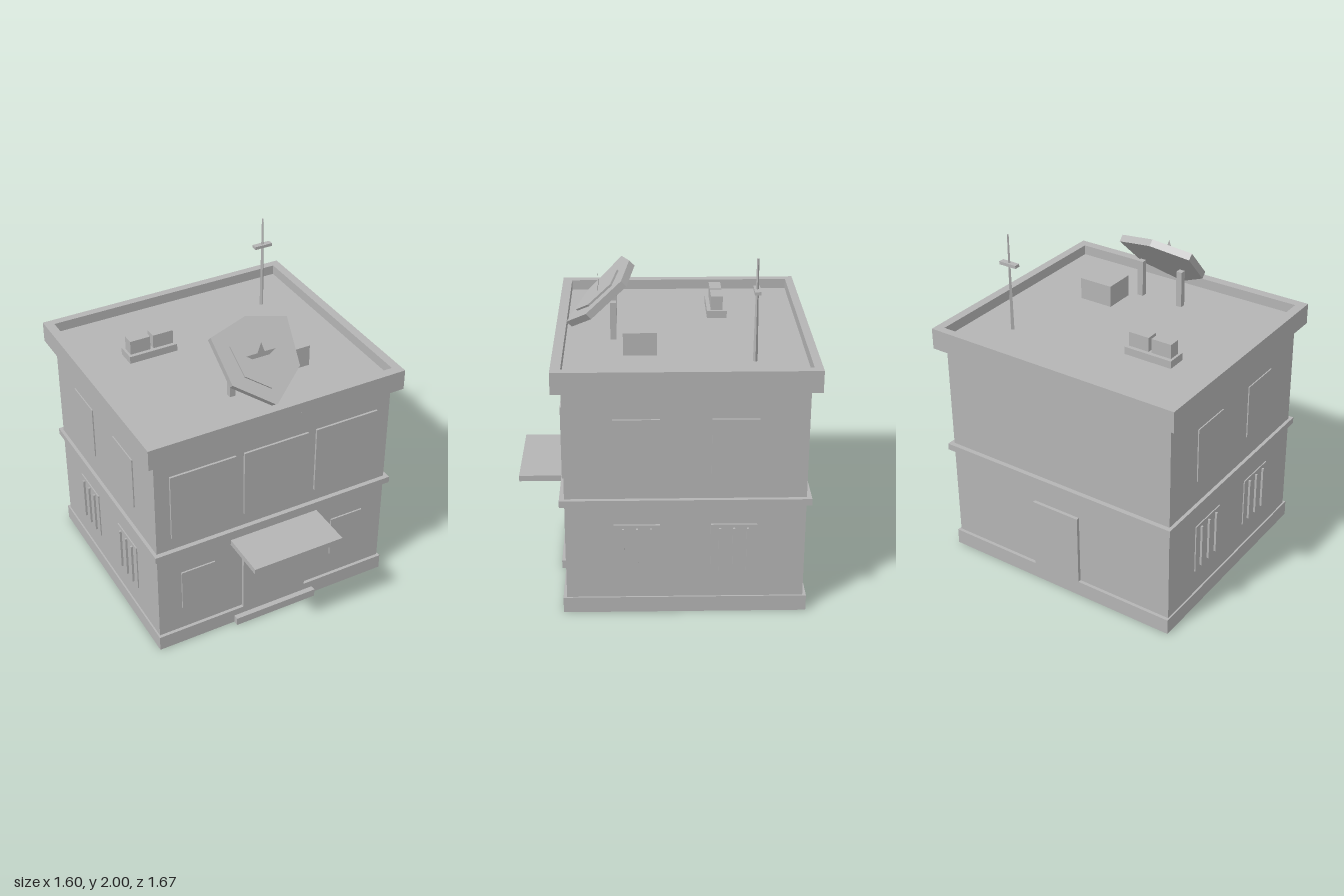
import * as THREE from 'three';

export function createModel() {
  const model = new THREE.Group();
  const grey = new THREE.MeshStandardMaterial({ color: 0xb4b4b4, side: THREE.DoubleSide });
  grey.name = 'wall grey';

  const add = (name, geometry, parent = model) => {
    const mesh = new THREE.Mesh(geometry, grey);
    mesh.name = name;
    parent.add(mesh);
    return mesh;
  };
  // Box given by its extents on each axis
  const box = (name, x0, x1, y0, y1, z0, z1) => {
    const mesh = add(name, new THREE.BoxGeometry(x1 - x0, y1 - y0, z1 - z0));
    mesh.position.set((x0 + x1) / 2, (y0 + y1) / 2, (z0 + z1) / 2);
    return mesh;
  };
  // Same box with its bottom face left open
  const openBox = (...args) => {
    const { geometry } = box(...args);
    const index = Array.from(geometry.index.array);
    index.splice(18, 6);
    geometry.setIndex(index);
    geometry.clearGroups();
  };
  const extrude = (shape, depth) => new THREE.ExtrudeGeometry(shape, { depth, bevelEnabled: false });
  const rect = (x0, x1, y0, y1) =>
    [[x0, y0], [x1, y0], [x1, y1], [x0, y1]].map(([x, y]) => new THREE.Vector2(x, y));

  // Main block with hollow plinth and middle ledge
  openBox('walls', -0.75, 0.745, 0.095, 1.355, -0.78, 0.55);
  openBox('plinth', -0.76, 0.755, 0, 0.095, -0.80, 0.57);
  openBox('ledge', -0.77, 0.77, 0.675, 0.715, -0.808, 0.578);

  // Overhanging roof with a parapet ring around it
  openBox('roof', -0.80, 0.795, 1.355, 1.42, -0.835, 0.604);
  const ring = new THREE.Shape(rect(-0.80, 0.795, -0.604, 0.835));
  ring.holes.push(new THREE.Path(rect(-0.745, 0.743, -0.548, 0.788)));
  const parapet = add('parapet', extrude(ring, 0.06));
  parapet.rotation.x = -Math.PI / 2;
  parapet.position.y = 1.42;

  // Entrance, with doors flush with the plinth
  box('frontDoor', -0.21, 0.207, 0.095, 0.572, 0.54, 0.57);
  openBox('doorStep', -0.27, 0.265, 0, 0.05, 0.57, 0.603);
  box('awning', -0.285, 0.285, 0.595, 0.63, 0.54, 0.835);
  box('backDoor', -0.15, 0.16, 0.095, 0.535, -0.80, -0.77);

  // Front windows
  for (const [x0, x1] of [[-0.66, -0.257], [-0.205, 0.203], [0.255, 0.66]])
    box('upperFrontWindow', x0, x1, 0.80, 1.225, 0.54, 0.563);
  for (const [x0, x1] of [[-0.603, -0.39], [0.387, 0.60]])
    box('lowerFrontWindow', x0, x1, 0.25, 0.52, 0.54, 0.56);

  // Side windows, with bars on the ground floor
  for (const side of [-1, 1]) {
    const plate = (name, a, b, y0, y1, z0, z1) => {
      const xs = [side * a, side * b].sort((p, q) => p - q);
      box(name, xs[0], xs[1], y0, y1, z0, z1);
    };
    for (const z of [0.153, -0.383]) {
      plate('upperSideWindow', 0.73, 0.757, 0.86, 1.19, z - 0.128, z + 0.128);
      plate('lowerSideWindow', 0.73, 0.757, 0.247, 0.555, z - 0.128, z + 0.128);
      for (const dz of [-0.077, 0, 0.077])
        plate('windowBar', 0.75, 0.77, 0.268, 0.535, z + dz - 0.006, z + dz + 0.006);
    }
  }

  // Roof equipment
  box('ventBox', 0.19, 0.40, 1.41, 1.55, 0.035, 0.222);
  box('coolerBase', -0.495, -0.195, 1.41, 1.465, -0.387, -0.27);
  box('coolerUnit', -0.48, -0.355, 1.46, 1.55, -0.363, -0.293);
  box('coolerUnit', -0.337, -0.21, 1.46, 1.55, -0.363, -0.293);

  // Antenna
  const mast = add('antennaMast', new THREE.CylinderGeometry(0.006, 0.013, 0.59, 4).toNonIndexed());
  mast.geometry.computeVertexNormals();
  mast.position.set(0.494, 1.705, -0.498);
  box('antennaBar', 0.438, 0.55, 1.814, 1.832, -0.516, -0.481);

  // Tilted shield sign on two posts
  for (const x of [-0.135, 0.133]) box('signPost', x - 0.018, x + 0.018, 1.41, 1.64, 0.26, 0.295);
  const shield = (name, points, depth, front) => {
    const half = points.map(([x, y]) => new THREE.Vector2(x, y));
    const other = half.slice(1, -1).reverse().map((p) => new THREE.Vector2(-p.x, p.y));
    add(name, extrude(new THREE.Shape([...half, ...other]), depth), sign).position.z = front - depth;
  };
  const sign = new THREE.Group();
  sign.name = 'shieldSign';
  sign.rotation.x = -Math.PI / 4;
  sign.position.set(0, 1.475, 0.55);
  model.add(sign);
  shield('shieldPlate', [[0, 0], [0.21, 0.17], [0.237, 0.452], [0, 0.516]], 0.043, 0);
  shield('shieldPanel', [[0, 0.094], [0.128, 0.196], [0.152, 0.377], [0, 0.43]], 0.022, 0.012);

  // Upright flat star set into the sign
  const star = [];
  for (let i = 0; i < 10; i++) {
    const r = i % 2 ? 0.038 : 0.094;
    const a = Math.PI / 2 + (i * Math.PI) / 5;
    star.push(new THREE.Vector2(r * Math.cos(a), r * Math.sin(a)));
  }
  add('star', new THREE.ShapeGeometry(new THREE.Shape(star))).position.set(0, 1.677, 0.364);

  return model;
}
